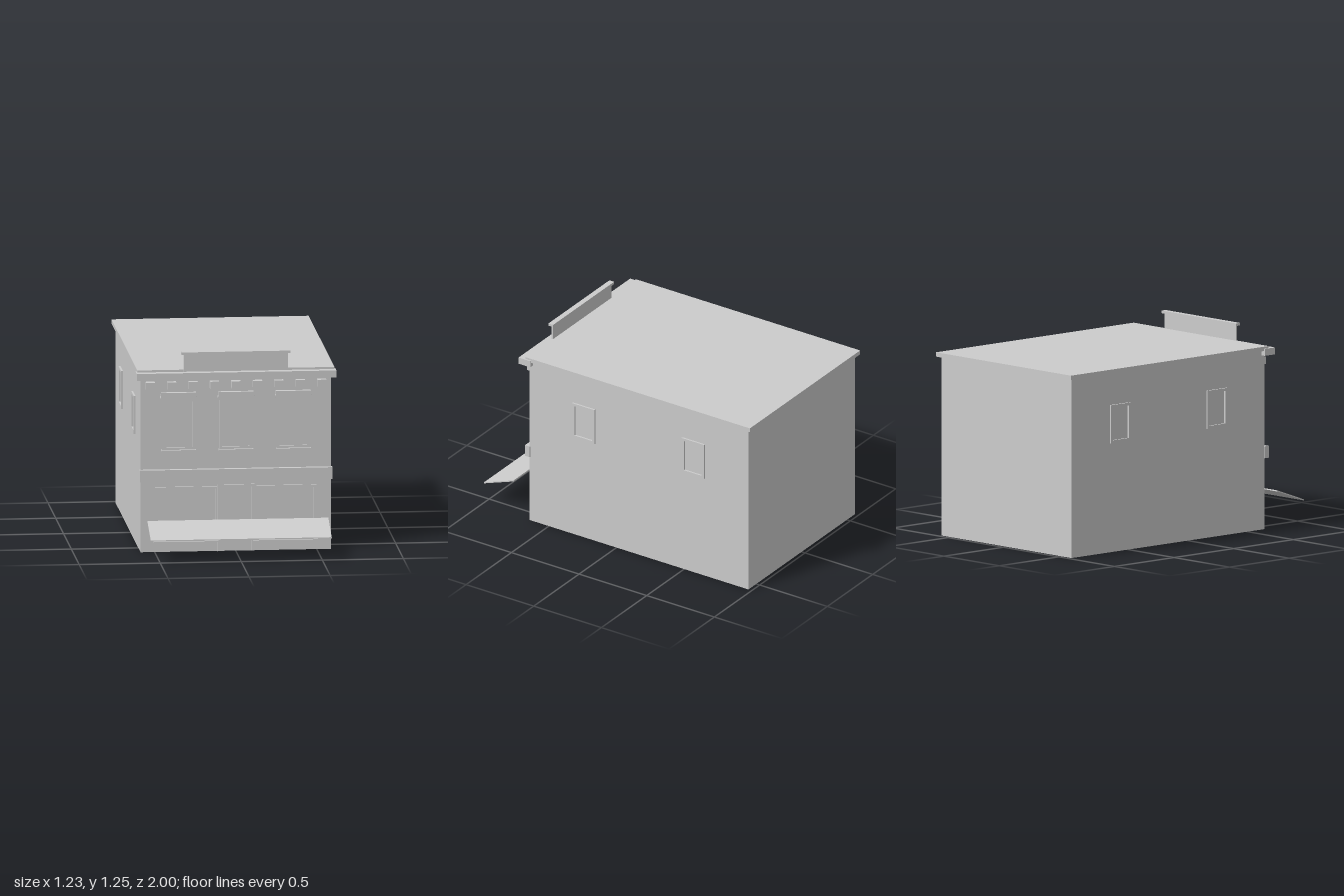
import * as THREE from 'three';

export function createModel() {
  const root = new THREE.Group();
  root.name = 'storefrontBuilding';
  const grey = new THREE.MeshStandardMaterial({ color: 0xcccccc });
  grey.name = 'plaster grey';

  const add = (name, geometry, parent = root) => {
    const mesh = new THREE.Mesh(geometry, grey);
    mesh.name = name;
    parent.add(mesh);
    return mesh;
  };
  // Box given by its extents
  const box = (name, x0, x1, y0, y1, z0, z1, parent) => {
    const mesh = add(name, new THREE.BoxGeometry(x1 - x0, y1 - y0, z1 - z0), parent);
    mesh.position.set((x0 + x1) / 2, (y0 + y1) / 2, (z0 + z1) / 2);
    return mesh;
  };
  const outline = (points) => new THREE.Shape(points.map(([x, y]) => new THREE.Vector2(x, y)));
  const rect = (x0, x1, y0, y1) => [[x0, y0], [x1, y0], [x1, y1], [x0, y1]];
  const plate = (shape, depth) => new THREE.ExtrudeGeometry(shape, { depth, bevelEnabled: false });
  // Rectangular frame with an opening
  const frame = (outer, inner, depth) => {
    const shape = outline(rect(...outer));
    shape.holes.push(outline(rect(...inner)));
    return plate(shape, depth);
  };

  const wallX = 0.587, wallZ = 0.643;

  // Main volume and roof
  box('walls', -wallX, wallX, 0, 1.113, -0.975, wallZ);
  box('roof', -0.608, 0.608, 1.113, 1.14, -1, 0.657);

  // Cornice, parapet and belt course
  box('cornice', -0.616, 0.616, 1.084, 1.127, 0.618, 0.705);
  box('parapet', -0.322, 0.322, 1.125, 1.235, 0.648, 0.659);
  box('parapetCap', -0.336, 0.336, 1.234, 1.25, 0.636, 0.671);
  box('beltCourse', -0.594, 0.594, 0.442, 0.516, 0.637, 0.672);

  // Cornice brackets
  for (let i = -4; i <= 4; i++) {
    const x = i * 0.1323;
    box('bracket', x - 0.028, x + 0.028, 1.021, 1.066, 0.635, 0.682);
  }

  // Upper windows
  const hood = outline([
    [-0.103, 0.947], [0.103, 0.947], [0.109, 0.951], [0.113, 0.961], [0.113, 0.969],
    [0.109, 0.974], [0.108, 0.998], [-0.108, 0.998], [-0.109, 0.974], [-0.113, 0.969],
    [-0.113, 0.961], [-0.109, 0.951],
  ]);
  for (const x of [-0.354, 0, 0.354]) {
    const win = new THREE.Group();
    win.name = 'upperWindow';
    win.position.set(x, 0, wallZ);
    root.add(win);
    add('windowFrame', frame([-0.102, 0.102, 0.637, 0.948], [-0.085, 0.085, 0.654, 0.939], 0.011), win);
    add('windowHood', plate(hood, 0.028), win);
    box('windowSill', -0.107, 0.107, 0.631, 0.639, 0, 0.028, win);
  }

  // Shop windows, mirrored
  for (const s of [-1, 1]) {
    const span = (a, b) => (s > 0 ? [a, b] : [-b, -a]);
    const surround = add('shopWindowFrame',
      frame([...span(0.113, 0.498), 0.063, 0.406], [...span(0.127, 0.481), 0.08, 0.392], 0.011));
    surround.position.z = wallZ;
    box('shopWindowSill', ...span(0.107, 0.507), 0.06, 0.067, wallZ, 0.67);
  }

  // Door surround, open at the bottom
  const doorway = outline([
    [-0.115, 0], [-0.098, 0], [-0.098, 0.4], [0.098, 0.4],
    [0.098, 0], [0.115, 0], [0.115, 0.416], [-0.115, 0.416],
  ]);
  add('doorFrame', plate(doorway, 0.012)).position.z = wallZ;

  // Sloping awning sheet
  const slope = outline([[-1, 0.135], [-0.778, 0.215], [-0.78, 0.222], [-1, 0.142]]);
  const awning = add('awning', plate(slope, 1.116));
  awning.rotation.y = Math.PI / 2;
  awning.position.x = -0.558;

  // Side windows on both walls
  for (const s of [-1, 1]) {
    for (const z of [0.238, -0.571]) {
      const side = add('sideWindowFrame',
        frame([-0.083, 0.083, 0.678, 0.916], [-0.066, 0.066, 0.696, 0.899], 0.011));
      side.rotation.y = s * Math.PI / 2;
      side.position.set(s * wallX, 0, z);
    }
  }

  return root;
}
